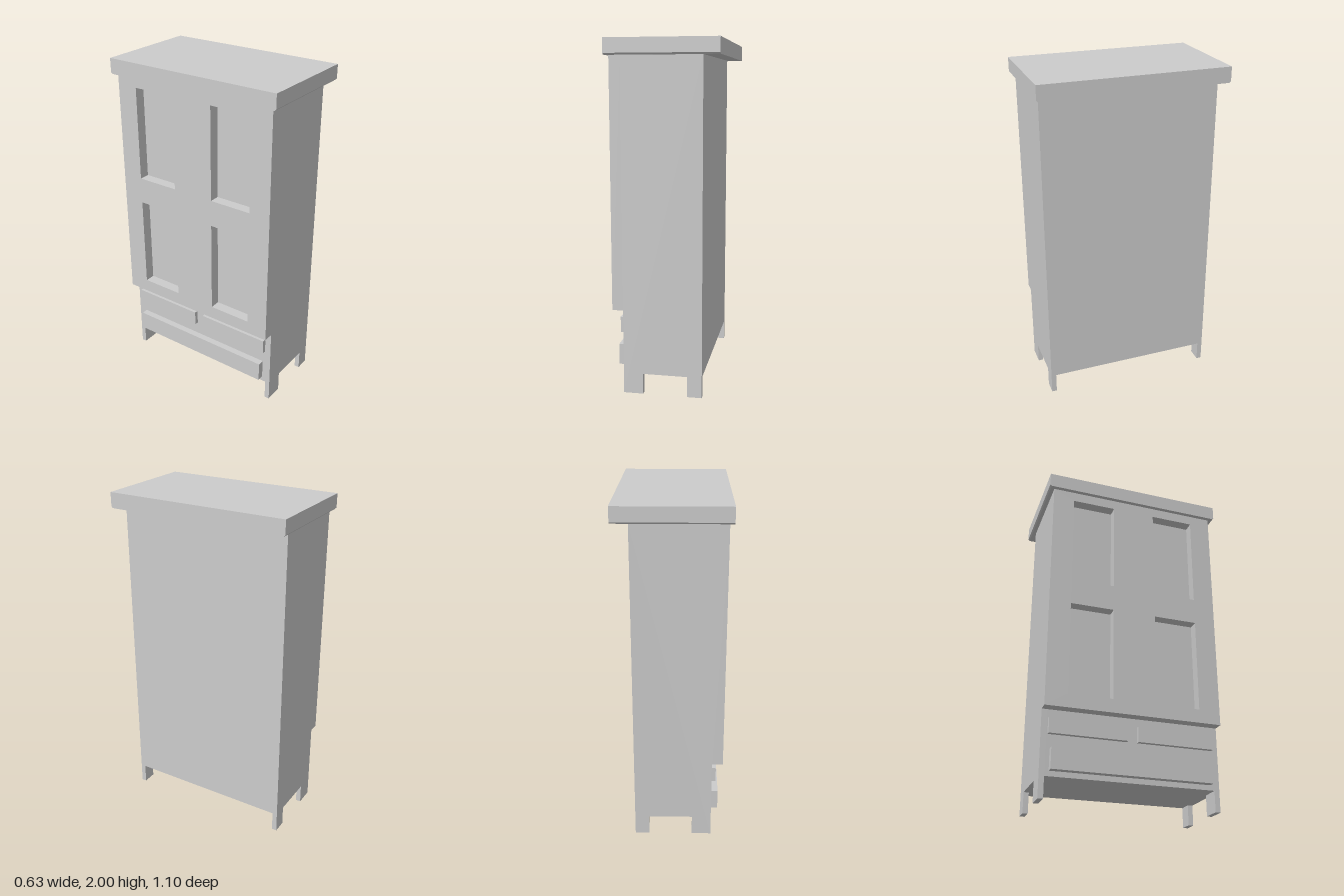
import * as THREE from 'three';

const material = new THREE.MeshStandardMaterial({ color: 0xcccccc, flatShading: true });

export function createModel() {
  const cabinet = new THREE.Group();
  cabinet.name = 'cabinet';

  const add = (name, geometry) => {
    const mesh = new THREE.Mesh(geometry, material);
    mesh.name = name;
    cabinet.add(mesh);
    return mesh;
  };
  // Box given by its lower and upper limits
  const box = (name, [x0, x1], [y0, y1], [z0, z1]) =>
    add(name, new THREE.BoxGeometry(x1 - x0, y1 - y0, z1 - z0))
      .position.set((x0 + x1) / 2, (y0 + y1) / 2, (z0 + z1) / 2);
  const outline = (points) => new THREE.Shape(points.map(([x, y]) => new THREE.Vector2(x, y)));
  const extrude = (shape, depth) => new THREE.ExtrudeGeometry(shape, { depth, bevelEnabled: false });

  const back = 0.223, face = -0.23, doorFace = -0.293;
  const bottom = 0.12, doorBottom = 0.49, top = 1.91;
  const halfWidth = 0.518, panel = 0.03;

  // Carcass between the two side panels
  const inner = halfWidth - panel;
  box('carcass', [face, back], [bottom, top], [-inner, inner]);

  // Side panels, cut out at the bottom to leave thin feet
  const side = outline([
    [face, 0], [-0.117, 0], [-0.117, bottom], [0.14, bottom],
    [0.14, 0], [back, 0], [back, top], [face, top],
  ]);
  for (const [name, z] of [['leftSidePanel', -halfWidth], ['rightSidePanel', inner]]) {
    add(name, extrude(side, panel)).position.z = z;
  }

  // Door front with four rectangular recesses
  const door = outline([
    [-halfWidth, doorBottom], [halfWidth, doorBottom], [halfWidth, top], [-halfWidth, top],
  ]);
  for (const z of [-0.39, 0.13]) {
    for (const y of [0.57, 1.29]) {
      door.holes.push(outline([[z, y], [z, y + 0.56], [z + 0.26, y + 0.56], [z + 0.26, y]]));
    }
  }
  const doorMesh = add('doorFront', extrude(door, face - doorFace));
  doorMesh.rotation.y = -Math.PI / 2;
  doorMesh.position.x = face;

  // Drawers: one wide below, two narrow above
  box('wideDrawer', [-0.27, face], [0.15, 0.27], [-0.465, 0.465]);
  box('narrowDrawerLeft', [-0.255, face], [0.35, 0.44], [-0.48, -0.03]);
  box('narrowDrawerRight', [-0.255, face], [0.35, 0.44], [0.03, 0.48]);

  // Overhanging top with a slight chamfer under its short ends
  const slab = outline([
    [-0.54, top], [0.54, top], [0.549, top + 0.009],
    [0.549, 2], [-0.549, 2], [-0.549, top + 0.009],
  ]);
  const slabMesh = add('topSlab', extrude(slab, 0.634));
  slabMesh.rotation.y = -Math.PI / 2;
  slabMesh.position.x = 0.317;

  return cabinet;
}
